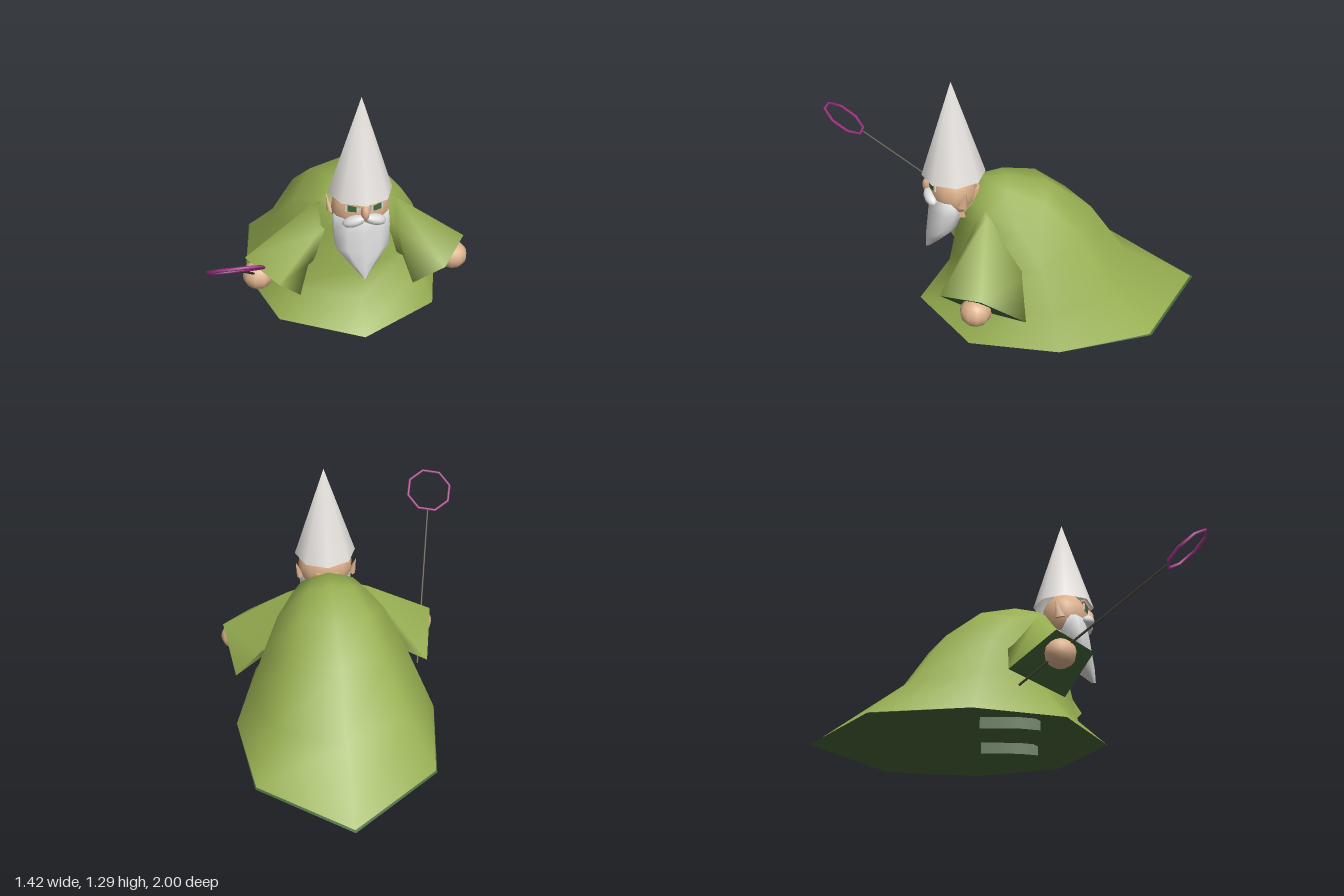
import * as THREE from 'three';
import { mergeVertices } from 'three/addons/utils/BufferGeometryUtils.js';

const mat = (name, color, side = THREE.FrontSide) => {
  const m = new THREE.MeshStandardMaterial({ color, side });
  m.name = name;
  return m;
};

// Skin of quads through closed rings of [x, y, z] points; a single capped ring gives a flat panel
function loft(rings, capEnd = false) {
  const n = rings[0].length, index = [];
  for (let i = 0; i < rings.length - 1; i++) {
    for (let j = 0; j < n; j++) {
      const a = i * n + j, b = i * n + (j + 1) % n;
      index.push(a, b, b + n, a, b + n, a + n);
    }
  }
  const last = (rings.length - 1) * n;
  if (capEnd) for (let j = 1; j < n - 1; j++) index.push(last, last + j, last + j + 1);
  const g = new THREE.BufferGeometry();
  g.setAttribute('position', new THREE.Float32BufferAttribute(rings.flat(2), 3));
  g.setIndex(index);
  g.computeVertexNormals();
  return g;
}

// Five points from front to back become a full eight-point ring
const mirrorRing = (half) => [...half, ...half.slice(1, 4).reverse().map(([x, y, z]) => [-x, y, z])];

export function createModel() {
  const robeGreen = mat('robe green', 0x97af51, THREE.DoubleSide);
  const darkGreen = mat('dark green', 0x446437, THREE.DoubleSide);
  const hatGrey = mat('hat grey', 0xe4e0dc, THREE.DoubleSide);
  const beardGrey = mat('beard grey', 0xdcdbdb);
  const skin = mat('skin', 0xdcb18c);
  const eyeGreen = mat('eye green', 0x3f6b3c);
  const wood = mat('dark wood', 0x3f392f);
  const magenta = mat('magenta', 0xa8348a);

  const root = new THREE.Group();
  const figure = new THREE.Group();
  figure.name = 'figure';
  figure.position.x = 0.105;
  root.add(figure);

  const add = (name, geometry, material, pos = [0, 0, 0], scale = [1, 1, 1], rot = [0, 0, 0], parent = figure) => {
    const m = new THREE.Mesh(geometry, material);
    m.name = name;
    m.position.set(...pos);
    m.scale.set(...scale);
    m.rotation.set(...rot);
    parent.add(m);
  };

  // Hunched robe, from hem to collar
  const hem = [[0, 0, 0.53], [0.42, 0, 0.3], [0.55, 0, -0.15], [0.475, 0, -0.65], [0, 0, -1]];
  const hemTop = hem.map(([x, y, z]) => (z < -0.5 ? [x * 0.99, 0.005, z * 0.985] : [x, y, z]));
  const robeRings = [
    hemTop,
    [[0, 0.13, 0.385], [0.37, 0.16, 0.2], [0.47, 0.2, -0.12], [0.35, 0.22, -0.45], [0, 0.22, -0.6]],
    [[0, 0.3, 0.35], [0.3, 0.32, 0.2], [0.38, 0.42, -0.07], [0.25, 0.5, -0.3], [0, 0.515, -0.4]],
    [[0, 0.45, 0.32], [0.24, 0.46, 0.22], [0.29, 0.58, 0.03], [0.18, 0.665, -0.12], [0, 0.69, -0.17]],
    [[0, 0.54, 0.31], [0.17, 0.55, 0.25], [0.2, 0.64, 0.15], [0.12, 0.72, 0.06], [0, 0.745, 0.05]],
    [[0, 0.59, 0.31], [0.11, 0.6, 0.28], [0.14, 0.665, 0.22], [0.08, 0.72, 0.175], [0, 0.745, 0.17]],
  ].map(mirrorRing);
  add('robe', loft(robeRings, true), robeGreen);

  // Rear hem edge and slightly hollow underside
  add('hemEdge', loft([mirrorRing(hem), mirrorRing(hemTop)]), darkGreen);
  const hollow = mirrorRing(hem.map(([x, , z]) => [x * 0.6, 0.06, z * 0.6 - 0.04]));
  add('underside', loft([mirrorRing(hem), hollow], true), darkGreen);

  // Wide sleeves growing out of the shoulders, hands and feet
  const ball = new THREE.SphereGeometry(1, 10, 8);
  const sleeveRings = [
    [[0.12, 0.66, 0.18], [0.08, 0.54, 0.2], [0.12, 0.36, 0.18], [0.2, 0.5, 0]],
    [[0.215, 0.63, 0.18], [0.21, 0.5, 0.275], [0.255, 0.3, 0.255], [0.385, 0.36, 0.02]],
    [[0.585, 0.385, 0.25], [0.435, 0.33, 0.44], [0.305, 0.145, 0.3], [0.535, 0.2, 0.02]],
  ];
  // Boot with a square heel and a narrow, low toe
  const foot = new THREE.BoxGeometry(0.11, 0.11, 0.3, 2, 1, 3);
  const fp = foot.attributes.position;
  for (let i = 0; i < fp.count; i++) {
    const t = Math.max(0, fp.getZ(i)) / 0.15;
    fp.setX(i, fp.getX(i) * (1 - 0.55 * t * t));
    if (fp.getY(i) > 0) fp.setY(i, 0.055 - 0.06 * t);
  }
  foot.computeVertexNormals();
  for (const s of [1, -1]) {
    const side = s > 0 ? 'left' : 'right';
    const rings = sleeveRings.map((r) => {
      const pts = r.map(([x, y, z]) => [x * s, y, z]);
      return s > 0 ? pts : pts.reverse();
    });
    add(side + 'Sleeve', loft(rings), robeGreen);
    add(side + 'SleeveOpening', loft([rings[2]], true), darkGreen);
    add(side + 'Hand', ball, skin, [s * 0.522, 0.285, 0.27], [0.08, 0.074, 0.08]);
    add(side + 'Foot', foot, darkGreen, [s * 0.2, 0.055, 0.03]);
  }

  // Head with nose, ears and eyes
  add('head', new THREE.SphereGeometry(1, 14, 10), skin, [0, 0.7, 0.33], [0.148, 0.15, 0.125]);
  add('neck', new THREE.CylinderGeometry(0.09, 0.11, 0.14, 10), skin, [0, 0.64, 0.275]);
  add('nose', ball, skin, [0, 0.722, 0.455], [0.022, 0.042, 0.033]);
  const ear = new THREE.ConeGeometry(0.03, 0.1, 6);
  for (const s of [1, -1]) {
    const side = s > 0 ? 'left' : 'right';
    add(side + 'Ear', ear, skin, [s * 0.155, 0.705, 0.285], [0.6, 1, 1], [-0.2, 0, -s * 0.2]);
    const eye = new THREE.Group();
    eye.name = side + 'Eye';
    eye.position.set(s * 0.062, 0.746, 0.439);
    eye.rotation.y = s * 0.38;
    figure.add(eye);
    add('eyeWhite', new THREE.BoxGeometry(0.068, 0.038, 0.008), beardGrey, [0, 0, 0], [1, 1, 1], [0, 0, 0], eye);
    add('iris', new THREE.BoxGeometry(0.044, 0.034, 0.008), eyeGreen, [0, 0, 0.003], [1, 1, 1], [0, 0, 0], eye);
    add('brow', new THREE.BoxGeometry(0.085, 0.012, 0.02), skin, [0, 0.024, 0], [1, 1, 1], [0, 0, s * 0.12], eye);
    // Moustache half
    add(side + 'Moustache', ball, beardGrey, [s * 0.054, 0.678, 0.45], [0.062, 0.029, 0.034], [0, s * 0.25, -s * 0.36]);
  }

  // Beard tapering to a forward tip: y, half width, back z, front z
  const beardRings = [
    [0.34, 0.004, 0.465, 0.485], [0.42, 0.074, 0.38, 0.482], [0.5, 0.142, 0.31, 0.472],
    [0.6, 0.15, 0.27, 0.46], [0.675, 0.145, 0.27, 0.445],
  ].map(([y, w, zb, zf]) => Array.from({ length: 10 }, (_, j) => {
    const a = (j / 10) * Math.PI * 2;
    return [Math.sin(a) * w, y, (zb + zf) / 2 + Math.cos(a) * (zf - zb) / 2];
  }));
  add('beard', loft(beardRings, true), beardGrey);

  // Pointed hat with one shared tip, so its shading runs smooth
  let hat = new THREE.ConeGeometry(0.165, 0.515, 8, 1, true);
  hat.deleteAttribute('uv');
  hat.deleteAttribute('normal');
  hat = mergeVertices(hat);
  hat.computeVertexNormals();
  add('hat', hat, hatGrey, [0, 1.0375, 0.325]);

  // Wand with an eight-sided hoop
  const start = new THREE.Vector3(-0.385, 0.135, 0.07), end = new THREE.Vector3(-0.553, 0.695, 0.79);
  const dir = end.clone().sub(start);
  const len = dir.length();
  dir.normalize();
  const wand = new THREE.Group();
  wand.name = 'wand';
  wand.position.copy(start);
  const normal = new THREE.Vector3(1, 0, 0).cross(dir).normalize();
  const across = dir.clone().cross(normal);
  wand.quaternion.setFromRotationMatrix(new THREE.Matrix4().makeBasis(across, dir, normal));
  root.add(wand);
  add('rod', new THREE.CylinderGeometry(0.006, 0.006, len, 6), wood, [0, len / 2, 0], [1, 1, 1], [0, 0, 0], wand);
  add('hoop', new THREE.TorusGeometry(0.129, 0.008, 4, 8), magenta, [0, len + 0.127, 0], [1, 1, 1], [0, 0, -0.35], wand);
  return root;
}
